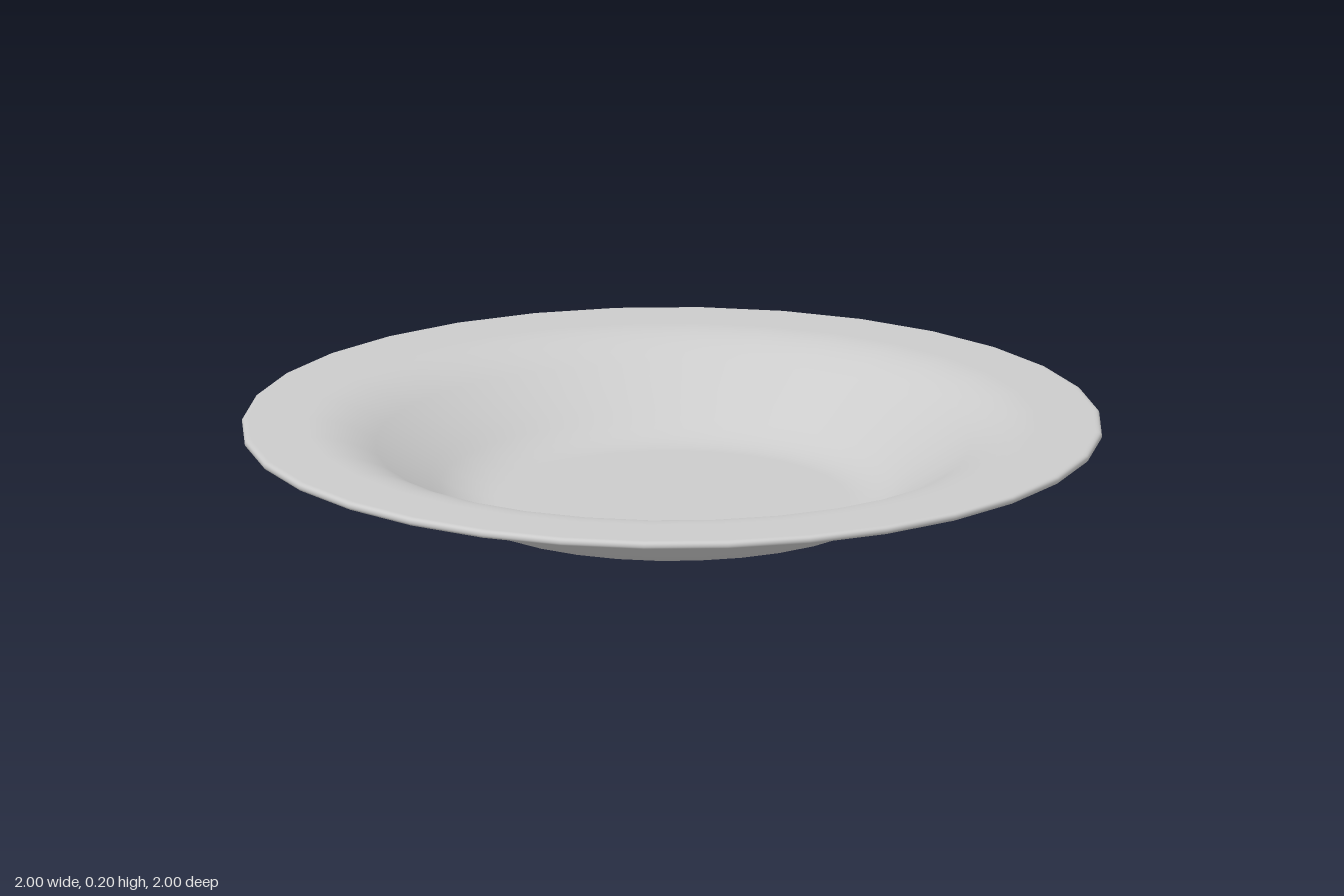
import * as THREE from 'three';

// Plate section offset: bottom and top faces share one shape, t above each other
function buildProfile() {
  const p = new THREE.Path();
  // underside: foot, sloping wall, flat rim
  p.moveTo(0, 0);
  p.lineTo(0.42, 0);
  p.quadraticCurveTo(0.5, 0, 0.575, 0.055);
  p.lineTo(0.7, 0.133);
  p.quadraticCurveTo(0.78, 0.181, 0.86, 0.181);
  p.lineTo(0.985, 0.181);
  // rounded lip
  p.quadraticCurveTo(1, 0.181, 1, 0.191);
  p.quadraticCurveTo(1, 0.201, 0.985, 0.201);
  // upper face: rim, wall, well
  p.lineTo(0.85, 0.201);
  p.quadraticCurveTo(0.77, 0.201, 0.69, 0.153);
  p.lineTo(0.565, 0.075);
  p.quadraticCurveTo(0.49, 0.02, 0.41, 0.02);
  p.lineTo(0, 0.02);
  return p.getPoints(6);
}

export function createModel() {
  const group = new THREE.Group();
  group.name = 'soupPlate';
  const plate = new THREE.Mesh(
    new THREE.LatheGeometry(buildProfile(), 32),
    new THREE.MeshStandardMaterial({ color: 0xcccccc })
  );
  plate.name = 'plate';
  group.add(plate);
  return group;
}
